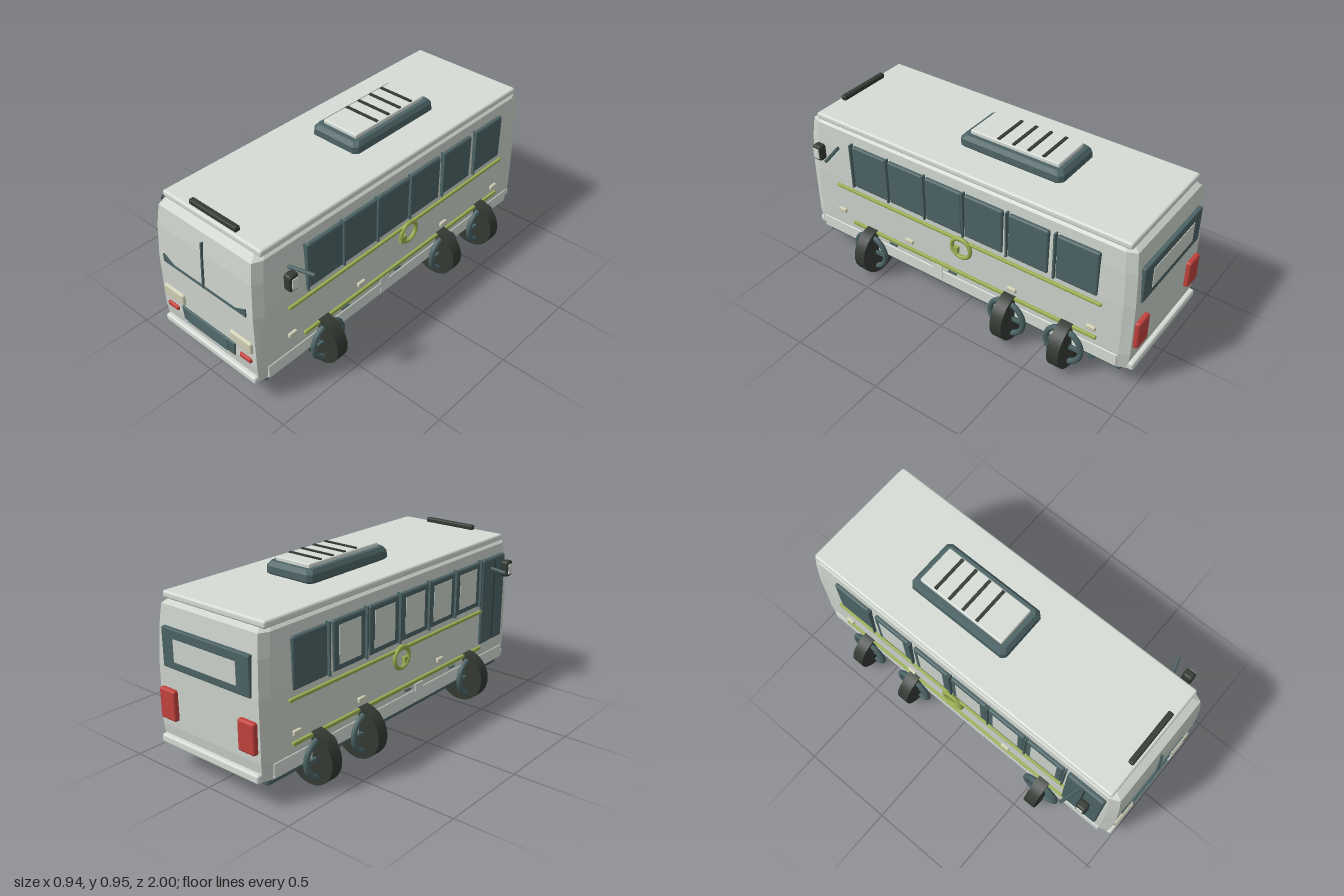
import * as THREE from 'three';
import { RoundedBoxGeometry } from 'three/addons/geometries/RoundedBoxGeometry.js';

const mat = (name, color, extra = {}) => {
  const m = new THREE.MeshStandardMaterial({ color, ...extra });
  m.name = name;
  return m;
};

// Chamfered-rectangle sections stacked along y: [y, halfWidth, front, back, chamferX, chamferZ]
function loft(sections) {
  const rings = sections.map(([y, w, f, b, cx, cz]) => [
    [w - cx, y, f], [w, y, f - cz], [w, y, b + cz], [w - cx, y, b],
    [cx - w, y, b], [-w, y, b + cz], [-w, y, f - cz], [cx - w, y, f],
  ]);
  const pos = [];
  const tri = (...p) => p.forEach((v) => pos.push(...v));
  for (let i = 0; i < rings.length - 1; i++) {
    for (let j = 0; j < 8; j++) {
      const k = (j + 1) % 8, lo = rings[i], hi = rings[i + 1];
      tri(lo[j], lo[k], hi[k]);
      tri(lo[j], hi[k], hi[j]);
    }
  }
  const bottom = rings[0], top = rings[rings.length - 1];
  for (let j = 1; j < 7; j++) {
    tri(top[0], top[j], top[j + 1]);
    tri(bottom[0], bottom[j + 1], bottom[j]);
  }
  const g = new THREE.BufferGeometry();
  g.setAttribute('position', new THREE.Float32BufferAttribute(pos, 3));
  g.computeVertexNormals();
  return g;
}

export function createModel() {
  const body = mat('body grey', 0xcdd4cc);
  const trim = mat('trim white', 0xd6dcd6);
  const teal = mat('dark teal', 0x4c6365);
  const black = mat('rubber black', 0x343a34);
  const green = mat('stripe green', 0x9aae50);
  const red = mat('lamp red', 0xc2423d);
  const cream = mat('lamp cream', 0xd0d0b6);

  const bus = new THREE.Group();
  bus.name = 'bus';
  const add = (name, geo, m, x = 0, y = 0, z = 0, parent = bus) => {
    const mesh = new THREE.Mesh(geo, m);
    mesh.name = name;
    mesh.position.set(x, y, z);
    parent.add(mesh);
    return mesh;
  };
  // Box given by its limits on each axis; r rounds the edges
  const box = (name, m, [x0, x1], [y0, y1], [z0, z1], r = 0) => {
    const s = [x1 - x0, y1 - y0, z1 - z0];
    const g = r ? new RoundedBoxGeometry(...s, 2, r) : new THREE.BoxGeometry(...s);
    return add(name, g, m, (x0 + x1) / 2, (y0 + y1) / 2, (z0 + z1) / 2);
  };
  // Same box on side s (+1 left, -1 right)
  const sideBox = (name, m, s, [x0, x1], y, z, r) =>
    box(name, m, s > 0 ? [x0, x1] : [-x1, -x0], y, z, r);

  // Shell, skirt, floor and roof
  add('bodyShell', loft([
    [0.13, 0.338, 0.968, -0.965, 0.02, 0.05],
    [0.22, 0.343, 0.978, -0.975, 0.02, 0.05],
    [0.52, 0.343, 0.978, -0.975, 0.022, 0.05],
    [0.70, 0.337, 0.966, -0.965, 0.022, 0.05],
    [0.81, 0.328, 0.95, -0.952, 0.022, 0.05],
    [0.83, 0.305, 0.91, -0.92, 0.02, 0.04],
  ]), body);
  box('chassis', teal, [-0.315, 0.315], [0.09, 0.135], [-0.93, 0.93], 0.01);
  box('roofSlab', trim, [-0.325, 0.325], [0.824, 0.86], [-0.93, 0.91], 0.012);
  box('frontBumper', trim, [-0.32, 0.32], [0.12, 0.16], [0.95, 0.995], 0.012);
  box('rearBumper', trim, [-0.32, 0.32], [0.125, 0.17], [-0.995, -0.95], 0.012);

  // Roof equipment
  box('lightBar', black, [-0.155, 0.155], [0.857, 0.885], [0.865, 0.895], 0.008);
  add('airConditioner', loft([
    [0.858, 0.135, 0.11, -0.44, 0.02, 0.02],
    [0.872, 0.147, 0.13, -0.46, 0.02, 0.02],
    [0.905, 0.145, 0.128, -0.458, 0.02, 0.02],
    [0.926, 0.13, 0.11, -0.44, 0.02, 0.02],
  ]), teal);
  box('ventPanel', trim, [-0.108, 0.108], [0.92, 0.946], [-0.42, 0.085], 0.007);
  for (let i = 0; i < 4; i++) {
    const z = -0.33 + i * 0.085;
    box('ventSlat', black, [-0.1, 0.1], [0.944, 0.952], [z - 0.008, z + 0.008]);
  }

  // Windscreen sill and centre post
  const sill = new THREE.Shape([[-0.28, 0.513], [0.28, 0.513], [0.28, 0.556], [0.21, 0.523],
    [-0.21, 0.523], [-0.28, 0.556]].map((p) => new THREE.Vector2(...p)));
  add('windscreenSill', new THREE.ExtrudeGeometry(sill, { depth: 0.012, bevelEnabled: false }),
    teal, 0, 0, 0.972);
  const post = box('windscreenPost', teal, [-0.004, 0.004], [0.515, 0.765], [0.962, 0.98]);
  post.rotation.x = -0.07;

  // Grille
  const grille = new THREE.Shape([[-0.175, 0.215], [0.175, 0.215], [0.183, 0.285],
    [-0.183, 0.285]].map((p) => new THREE.Vector2(...p)));
  add('grille', new THREE.ExtrudeGeometry(grille,
    { depth: 0.012, bevelSize: 0.004, bevelThickness: 0.004, bevelSegments: 1 }), teal, 0, 0, 0.97);
  for (let i = 0; i < 4; i++) {
    const y = 0.226 + i * 0.017;
    box('grilleBar', teal, [-0.14, 0.14], [y - 0.004, y + 0.004], [0.98, 0.994]);
  }

  // Rear window
  box('rearWindowFrame', teal, [-0.28, 0.28], [0.52, 0.715], [-0.985, -0.955], 0.006);
  box('rearWindowPane', body, [-0.2, 0.2], [0.56, 0.67], [-0.988, -0.982]);

  const windowFronts = [0.66, 0.425, 0.19, -0.05, -0.305, -0.57];
  const axles = [0.57, -0.315, -0.645];

  for (const s of [1, -1]) {
    // Lamps
    sideBox('headlight', cream, s, [0.16, 0.305], [0.3, 0.366], [0.965, 0.992], 0.012);
    sideBox('frontIndicator', red, s, [0.217, 0.293], [0.234, 0.262], [0.965, 0.99], 0.009);
    sideBox('tailLight', red, s, [0.205, 0.308], [0.26, 0.415], [-1, -0.96], 0.012);
    for (const z of [0.775, 0.31, -0.33, -0.775])
      sideBox('sideMarker', cream, s, [0.335, 0.357], [0.296, 0.322], [z - 0.025, z + 0.025], 0.006);

    // Windows with posts; most on the right have pale panes
    windowFronts.forEach((z, i) => {
      sideBox('sideWindow', teal, s, [0.325, 0.352], [0.51, 0.758], [z - 0.222, z], 0.01);
      sideBox('windowPost', teal, s, [0.33, 0.358], [0.505, 0.765], [z + 0.004, z + 0.013]);
      if (s < 0 && i < 5)
        sideBox('windowPane', body, s, [0.349, 0.354], [0.54, 0.73], [z - 0.19, z - 0.035]);
    });

    // Stripes and ring ornament
    sideBox('upperStripe', green, s, [0.335, 0.356], [0.463, 0.48], [-0.82, 0.79], 0.005);
    sideBox('lowerStripe', green, s, [0.335, 0.356], [0.248, 0.268], [-0.805, 0.7], 0.005);
    const ring = add('sideRing', new THREE.TorusGeometry(0.056, 0.011, 8, 28), green,
      s * 0.357, 0.432, -0.032);
    ring.rotation.y = Math.PI / 2;
    sideBox('ringTab', green, s, [0.342, 0.362], [0.39, 0.425], [-0.012, 0.03]);

    // Lower panels and service hatch
    sideBox('skirtPanel', trim, s, [0.325, 0.347], [0.135, 0.21], [-0.92, 0.93], 0.006);
    sideBox('hatch', trim, s, [0.34, 0.349], [0.145, 0.24], [0.1, 0.165]);
    sideBox('hatchHandle', teal, s, [0.34, 0.352], [0.228, 0.236], [0.01, 0.06]);
    sideBox('hatchHandle', teal, s, [0.34, 0.352], [0.228, 0.236], [0.4, 0.45]);

    // Mirror on a swept arm
    const arm = add('mirrorArm', new THREE.CylinderGeometry(0.009, 0.009, 0.135, 10), teal,
      s * 0.398, 0.702, 0.752);
    arm.rotation.set(0, s * 0.27, Math.PI / 2);
    sideBox('mirror', black, s, [0.388, 0.435], [0.656, 0.744], [0.798, 0.854], 0.014);
    sideBox('mirrorFace', trim, s, [0.433, 0.439], [0.672, 0.728], [0.809, 0.843]);

    // Wheels: crosswise tyre with an outer rim ring
    for (const z of axles) {
      const wheel = new THREE.Group();
      wheel.name = 'wheel';
      wheel.position.set(s * 0.332, 0.137, z);
      bus.add(wheel);
      const tyre = add('tyre', new THREE.CylinderGeometry(0.136, 0.136, 0.066, 48), black,
        0, 0, 0, wheel);
      tyre.rotation.x = Math.PI / 2;
      const rim = add('rim', new THREE.TorusGeometry(0.098, 0.015, 10, 36), teal,
        s * 0.038, 0.005, 0, wheel);
      rim.rotation.y = Math.PI / 2;
      add('rimSpoke', new THREE.BoxGeometry(0.014, 0.018, 0.19), teal, s * 0.036, 0.005, 0, wheel);
    }
  }

  // Entrance door on the right side
  box('door', teal, [-0.358, -0.325], [0.28, 0.76], [0.685, 0.9], 0.012);
  box('doorSplit', black, [-0.361, -0.355], [0.3, 0.745], [0.788, 0.796]);

  // Exhaust
  const pipe = add('exhaust', new THREE.CylinderGeometry(0.016, 0.016, 0.2, 14), teal,
    0.21, 0.076, -0.765);
  pipe.rotation.z = Math.PI / 2;

  return bus;
}
